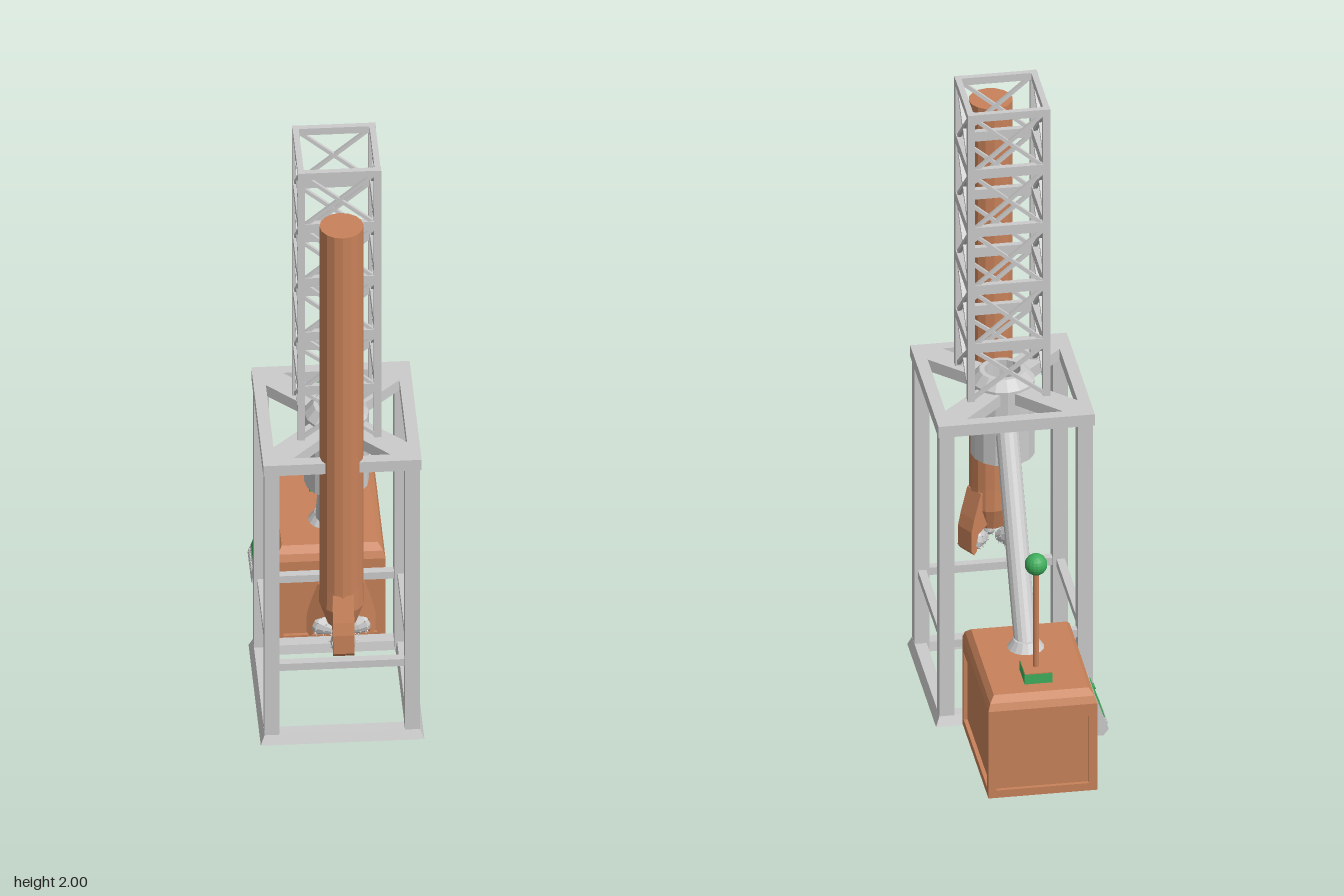
import * as THREE from 'three';

const mat = (color) => new THREE.MeshStandardMaterial({ color, flatShading: true });
const GREY = mat(0xcccccc), ORANGE = mat(0xc8825a), GREEN = mat(0x3fae5c);
const V = (x, y, z) => new THREE.Vector3(x, y, z);

function add(parent, name, geometry, material, x = 0, y = 0, z = 0) {
  const mesh = new THREE.Mesh(geometry, material);
  mesh.name = name;
  mesh.position.set(x, y, z);
  parent.add(mesh);
  return mesh;
}

function group(parent, name, x = 0, y = 0, z = 0) {
  const g = new THREE.Group();
  g.name = name;
  g.position.set(x, y, z);
  parent.add(g);
  return g;
}

const box = (w, h, d) => new THREE.BoxGeometry(w, h, d);
const lathe = (pts, n) => new THREE.LatheGeometry(pts.map(([r, y]) => new THREE.Vector2(r, y)), n);

// Mitred rectangular solid of revolution: profile radii are fractions of the half sizes
function rectLathe(pts, halfX, halfZ) {
  return lathe(pts, 4).rotateY(Math.PI / 4).scale(halfX * Math.SQRT2, 1, halfZ * Math.SQRT2);
}

// Straight bar between two points, square or round
function beam(parent, name, a, b, w, material, sides = 0) {
  const len = a.distanceTo(b);
  const geo = sides ? new THREE.CylinderGeometry(w, w, len, sides) : box(w, len, w);
  const mesh = add(parent, name, geo, material);
  mesh.position.copy(a).lerp(b, 0.5);
  mesh.quaternion.setFromUnitVectors(V(0, 1, 0), b.clone().sub(a).normalize());
  return mesh;
}

function polygon(pts) {
  return new THREE.Shape(pts.map(([x, y]) => new THREE.Vector2(x, y)));
}

function rect(w, h) {
  return polygon([[-w / 2, -h / 2], [w / 2, -h / 2], [w / 2, h / 2], [-w / 2, h / 2]]);
}

const extrude = (shape, depth) =>
  new THREE.ExtrudeGeometry(shape, { depth, bevelEnabled: false, curveSegments: 8 });

// Open stand with base, four posts, mid rails and a braced top plate
function buildStand(root) {
  const stand = group(root, 'stand', 0, 0, 0.205);
  const rim = [[0.78, 0], [1, 0], [0.95, 0.03], [0.8, 0.03], [0.78, 0]];
  add(stand, 'baseFrame', rectLathe(rim, 0.245, 0.26), GREY);
  for (const sx of [-1, 1]) for (const sz of [-1, 1])
    add(stand, 'post', box(0.045, 0.98, 0.045), GREY, sx * 0.21, 0.5, sz * 0.225);
  for (const s of [-1, 1]) {
    add(stand, 'crossRail', box(0.4, 0.025, 0.025), GREY, 0, 0.268, s * 0.225);
    add(stand, 'sideRail', box(0.025, 0.025, 0.42), GREY, s * 0.21, 0.268, 0);
  }
  // Four openings leave diagonal braces running to the central sleeve
  const plate = rect(0.474, 0.51);
  for (const s of [-1, 1]) {
    plate.holes.push(polygon([[s * 0.2, -0.16], [s * 0.2, 0.16], [s * 0.085, 0.045], [s * 0.085, -0.045]]));
    plate.holes.push(polygon([[-0.145, s * 0.22], [0.145, s * 0.22], [0.02, s * 0.09], [-0.02, s * 0.09]]));
  }
  const bore = new THREE.Path();
  bore.absarc(0, 0, 0.06, 0, Math.PI * 2);
  plate.holes.push(bore);
  add(stand, 'topPlate', extrude(plate, 0.038).rotateX(Math.PI / 2), GREY, 0, 1.022, 0);
  const sleeve = [[0.055, 0.78], [0.097, 0.78], [0.097, 1.03], [0.07, 1.06], [0.055, 1.06], [0.055, 0.78]];
  add(stand, 'sleeve', lathe(sleeve, 16), GREY);
}

// Lattice tower of five cross-braced bays
function buildTower(root) {
  const tower = group(root, 'latticeTower', 0, 0, 0.21);
  for (let side = 0; side < 4; side++) {
    const face = group(tower, 'towerSide');
    face.rotation.y = side * Math.PI / 2;
    add(face, 'towerPost', box(0.022, 0.98, 0.022), GREY, 0.114, 1.51, 0.114);
    for (let i = 0; i < 5; i++) {
      const y0 = i ? 1.01 + i * 0.198 : 1.03, y1 = 1.01 + (i + 1) * 0.198 - 0.015;
      add(face, 'towerRail', box(0.22, i === 4 ? 0.024 : 0.032, 0.018), GREY, 0, i === 4 ? 1.988 : y1 + 0.01, 0.115);
      for (const s of [-1, 1])
        beam(face, 'towerBrace', V(-s * 0.107, y0, 0.115), V(s * 0.107, y1, 0.115), 0.011, GREY);
    }
  }
}

// Long drill column ending in three legs with toothed rollers
function buildDrill(root) {
  const drill = group(root, 'drill', 0, 0, 0.42);
  add(drill, 'drillColumn', lathe([[0, 0.42], [0.045, 0.42], [0.068, 0.49], [0.066, 0.56],
    [0.066, 1.865], [0, 1.865]], 16), ORANGE);
  const legShape = polygon([[0.03, 0.55], [0.035, 0.44], [0.074, 0.415], [0.08, 0.36], [0.09, 0.35],
    [0.101, 0.365], [0.1, 0.43], [0.09, 0.47], [0.064, 0.55]]);
  for (let i = 0; i < 3; i++) {
    const arm = group(drill, 'bitArm');
    arm.rotation.y = i * Math.PI * 2 / 3;
    add(arm, 'bitLeg', extrude(legShape, 0.064).translate(0, 0, -0.032).rotateY(-Math.PI / 2), ORANGE);
    const cutter = group(arm, 'rollerCutter', 0, 0.392, 0.08);
    cutter.rotation.x = -Math.PI / 2 - 0.25;
    add(cutter, 'rollerBody', lathe([[0, 0], [0.035, 0], [0.039, 0.012], [0.03, 0.036],
      [0.014, 0.062], [0, 0.068]], 12), GREY);
    for (const [r, y, n] of [[0.037, 0.014, 12], [0.028, 0.036, 9], [0.016, 0.056, 6]])
      for (let k = 0; k < n; k++) {
        const a = k / n * Math.PI * 2, dir = V(Math.cos(a), 0.35, Math.sin(a)).normalize();
        const tooth = add(cutter, 'tooth', new THREE.ConeGeometry(0.006, 0.02, 4), GREY,
          r * Math.cos(a), y, r * Math.sin(a));
        tooth.quaternion.setFromUnitVectors(V(0, 1, 0), dir);
      }
  }
}

// Housing with recessed panels and a bevelled lid
function buildHousing(root) {
  const housing = group(root, 'housing', 0, 0, -0.287);
  const hx = 0.165, hz = 0.236, h = 0.28, t = 0.012;
  add(housing, 'housingCore', box(2 * (hx - t), h - 0.002, 2 * (hz - t)), ORANGE, 0, 0.145, 0);
  add(housing, 'housingFloor', box(2 * hx, t, 2 * hz), ORANGE, 0, 0.011, 0);
  for (let i = 0; i < 4; i++) {
    const w = i % 2 ? 2 * hz : 2 * hx, out = i % 2 ? hx : hz;
    const panel = rect(w, h);
    panel.holes.push(rect(w - 0.05, h - 0.05));
    const turn = group(housing, 'housingSide', 0, 0.145, 0);
    turn.rotation.y = i * Math.PI / 2;
    add(turn, 'panelBorder', extrude(panel, t), ORANGE, 0, 0, out - t);
  }
  add(housing, 'lid', rectLathe([[0, 0.283], [1, 0.283], [1, 0.3], [0.96, 0.322], [0.87, 0.34], [0, 0.34]],
    hx, hz), ORANGE);

  // Control lever
  const lever = group(root, 'lever', 0, 0, -0.398);
  add(lever, 'leverBase', box(0.084, 0.034, 0.092), GREEN, 0, 0.355, 0);
  add(lever, 'leverPlate', box(0.082, 0.004, 0.09), ORANGE, 0, 0.373, 0);
  add(lever, 'leverRod', new THREE.CylinderGeometry(0.009, 0.009, 0.34, 10), ORANGE, 0, 0.535, 0);
  add(lever, 'leverKnob', new THREE.SphereGeometry(0.034, 16, 12), GREEN, 0, 0.722, 0);

  // Slanted pipe from the sleeve down to the lid
  add(root, 'pipeFlange', new THREE.CylinderGeometry(0.037, 0.058, 0.03, 16), GREY, 0, 0.352, -0.212);
  beam(root, 'pipe', V(0, 0.34, -0.215), V(0, 0.92, 0.142), 0.035, GREY, 16);
}

// Wedge-shaped control panel on the right side of the housing
function buildPanel(root) {
  const panel = group(root, 'controlPanel', 0, 0, -0.287);
  const wedge = polygon([[-0.15, 0.1], [-0.21, 0.1], [-0.226, 0.12], [-0.181, 0.25], [-0.15, 0.25]]);
  add(panel, 'panelCase', extrude(wedge, 0.155).translate(0, 0, -0.0775), GREY);
  const face = group(panel, 'panelFace', -0.2035, 0.185, 0);
  face.rotation.set(-0.333, -Math.PI / 2, 0, 'YXZ');
  add(face, 'screen', box(0.1, 0.088, 0.006), GREEN, -0.016, 0.012, 0);
  add(face, 'button', new THREE.CylinderGeometry(0.01, 0.01, 0.012, 12).rotateX(Math.PI / 2), GREEN, 0.057, 0.01, 0);
  for (let i = 0; i < 8; i++)
    add(face, 'key', box(0.008, 0.01, 0.008), GREY, -0.062 + i * 0.0135, -0.052, 0);
}

export function createModel() {
  const root = new THREE.Group();
  root.name = 'drillingRig';
  buildStand(root);
  buildTower(root);
  buildDrill(root);
  buildHousing(root);
  buildPanel(root);
  return root;
}
